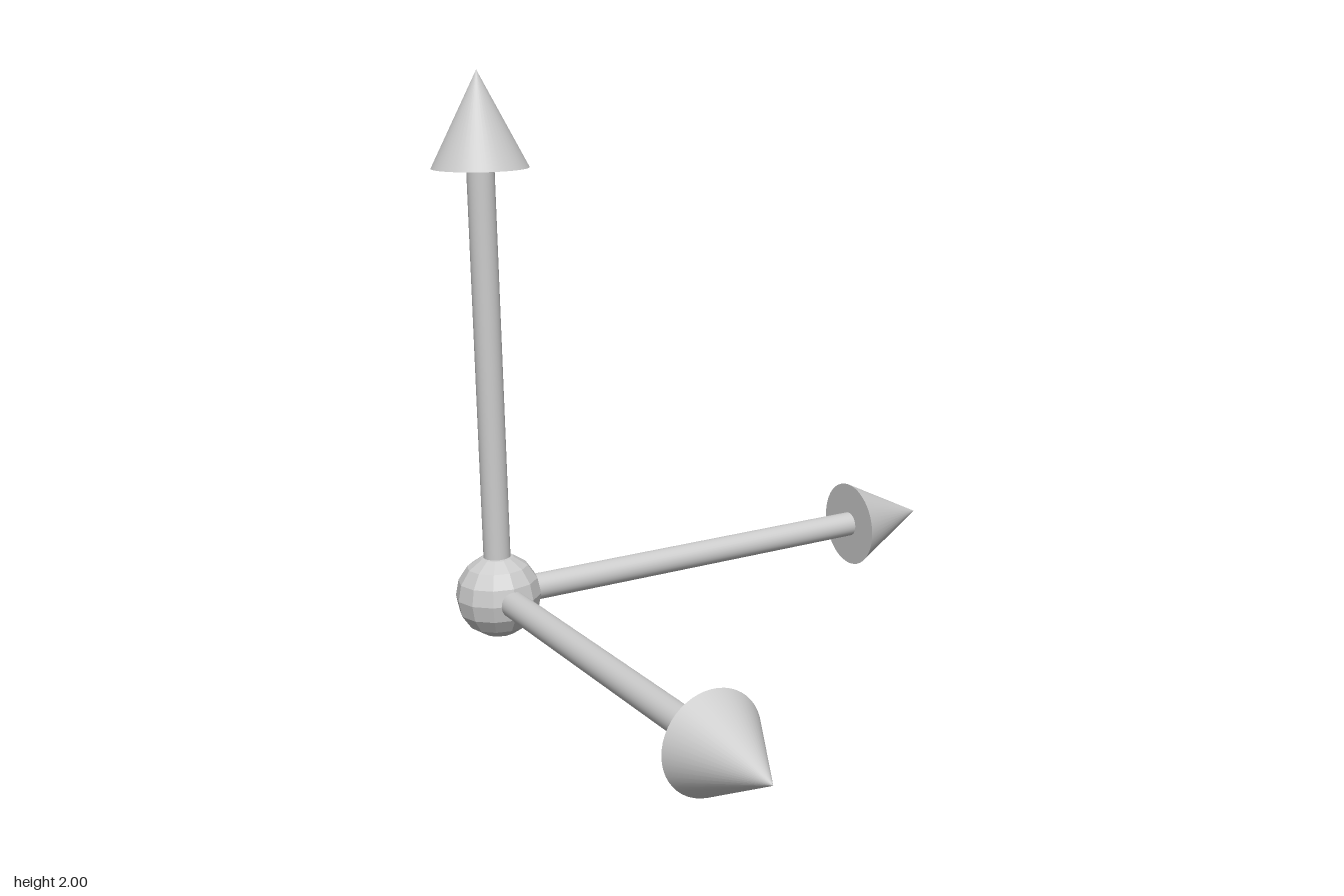
import * as THREE from 'three';

const R = 0.164;          // cone radius, also the distance of the origin from the edges
const LENGTH = 2 - R;     // origin to arrow tip
const HEAD = 0.326;       // cone height

// One arrow pointing up from the origin
function makeArrow(name, material) {
  const arrow = new THREE.Group();
  arrow.name = name;

  const shaftLength = LENGTH - HEAD;
  const shaft = new THREE.Mesh(new THREE.CylinderGeometry(0.047, 0.047, shaftLength, 32), material);
  shaft.name = 'shaft';
  shaft.position.y = shaftLength / 2;

  const head = new THREE.Mesh(new THREE.ConeGeometry(R, HEAD, 48), material);
  head.name = 'arrowHead';
  head.position.y = LENGTH - HEAD / 2;

  arrow.add(shaft, head);
  return arrow;
}

export function createModel() {
  const model = new THREE.Group();
  model.name = 'axisArrows';
  const smooth = new THREE.MeshStandardMaterial({ color: 0xcccccc });
  const faceted = new THREE.MeshStandardMaterial({ color: 0xcccccc, flatShading: true });

  // Faceted ball at the corner where the arrows meet
  const ball = new THREE.Mesh(new THREE.SphereGeometry(0.15, 12, 8), faceted);
  ball.name = 'originBall';
  model.add(ball);

  // Three arrows at right angles
  const up = makeArrow('upArrow', smooth);
  const side = makeArrow('sideArrow', smooth);
  side.rotation.z = -Math.PI / 2;
  const front = makeArrow('frontArrow', smooth);
  front.rotation.x = Math.PI / 2;
  model.add(up, side, front);

  model.position.set(R - 1, R, R - 1);
  const root = new THREE.Group();
  root.add(model);
  return root;
}
